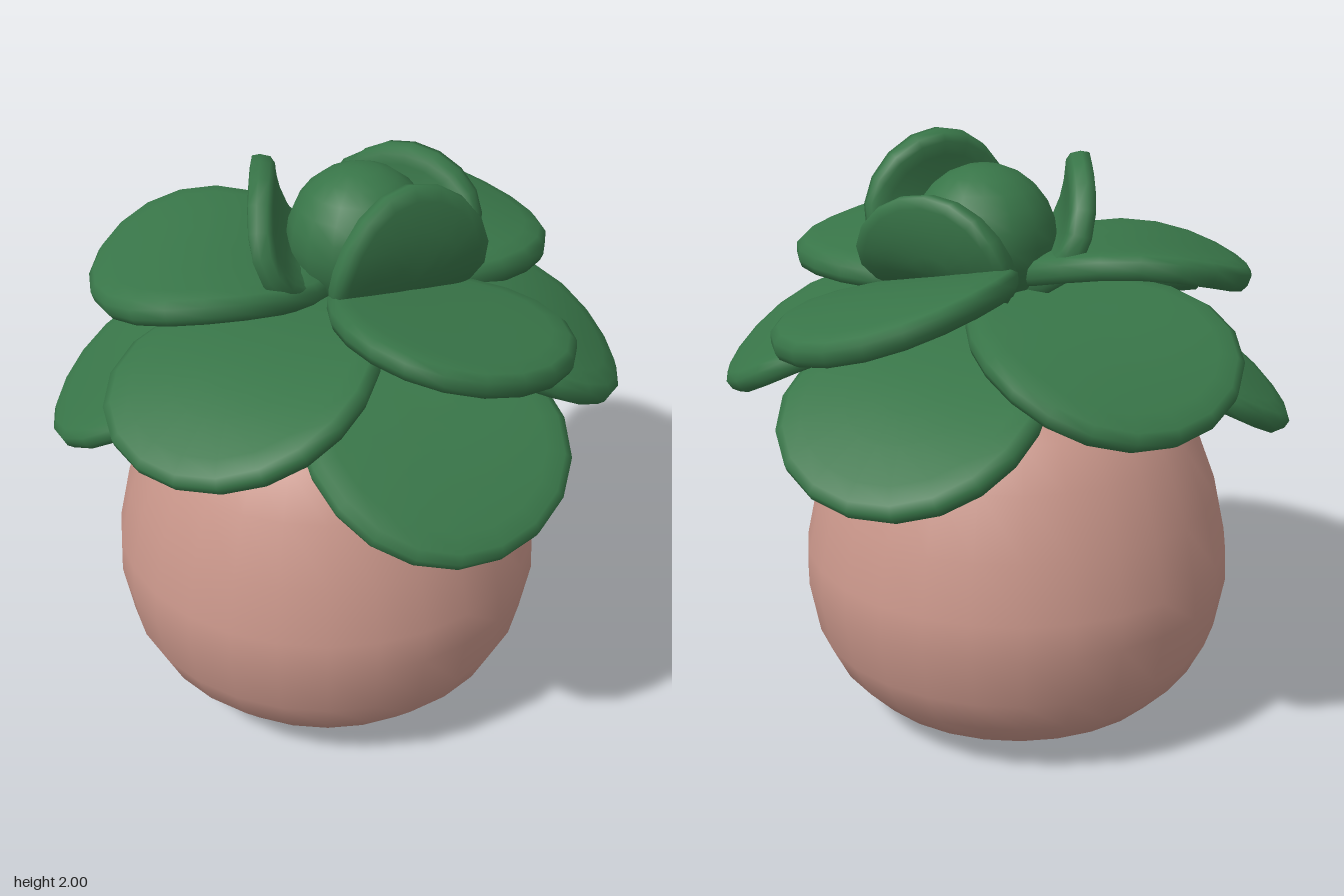
import * as THREE from 'three';
import { mergeVertices } from 'three/addons/utils/BufferGeometryUtils.js';

const vec = (p) => new THREE.Vector2(p[0], p[1]);

// A round plate bent along a radial curve: path = base, control and tip as [radius, height]
function petalGeometry(path, halfWidth, halfThick, roll) {
  const curve = new THREE.QuadraticBezierCurve(...path.map(vec));
  const rim = [[0, -1], [0.3, -1], [0.6, -1], [0.87, -1], [0.98, -0.9], [1, -0.3],
    [0.99, 0.5], [0.93, 0.9], [0.8, 1], [0.5, 1], [0.25, 1], [0, 1]];
  let geo = new THREE.LatheGeometry(rim.map(vec), 20);
  geo.deleteAttribute('uv');
  geo.deleteAttribute('normal');
  geo = mergeVertices(geo, 1e-4);
  const pos = geo.attributes.position;
  for (let i = 0; i < pos.count; i++) {
    const t = THREE.MathUtils.clamp((1 + pos.getX(i)) / 2, 0, 1);
    const point = curve.getPoint(t), tangent = curve.getTangent(t);
    const lift = pos.getY(i) * halfThick;
    const across = pos.getZ(i) * halfWidth * (0.86 + 0.21 * t);
    pos.setXYZ(i, point.x - tangent.y * lift, point.y + tangent.x * lift + across * roll, across);
  }
  geo.computeVertexNormals();
  return geo;
}

export function createModel() {
  const model = new THREE.Group();
  const clay = new THREE.MeshStandardMaterial({ color: 0xc9968a });
  clay.name = 'dusty pink';
  const green = new THREE.MeshStandardMaterial({ color: 0x387548 });
  green.name = 'leaf green';

  // Egg-shaped body
  const profile = [[0, 0], [0.42, 0.045], [0.55, 0.1], [0.645, 0.2], [0.705, 0.32], [0.738, 0.5],
    [0.733, 0.62], [0.69, 0.82], [0.615, 1.02], [0.53, 1.15], [0.42, 1.25], [0.28, 1.32], [0.14, 1.36], [0, 1.37]];
  const body = new THREE.Mesh(new THREE.LatheGeometry(profile.map(vec), 28), clay);
  body.name = 'body';
  body.position.x = -0.025;
  model.add(body);

  // Rings of three leaves, lowest to innermost; each leaf is [angle, roll, path]
  const rings = [
    { name: 'lowerLeaf', width: 0.445, thick: 0.036, x: 0, z: 0, leaves: [
      [59, -0.05, [[0.08, 1.42], [0.62, 1.37], [0.975, 1.055]]],
      [180, 0, [[0.08, 1.42], [0.62, 1.36], [0.945, 1.05]]],
      [301, 0.05, [[0.08, 1.42], [0.62, 1.37], [0.975, 1.055]]]] },
    { name: 'middleLeaf', width: 0.435, thick: 0.038, x: 0, z: 0, leaves: [
      [0, 0, [[0.06, 1.49], [0.62, 1.53], [0.945, 1.205]]],
      [120, -0.07, [[0.03, 1.51], [0.6, 1.58], [0.95, 1.31]]],
      [240, -0.05, [[0.03, 1.51], [0.6, 1.58], [0.955, 1.27]]]] },
    { name: 'upperLeaf', width: 0.39, thick: 0.043, x: 0.09, z: -0.03, leaves: [
      [58, 0.19, [[0.06, 1.56], [0.5, 1.66], [0.875, 1.58]]],
      [180, 0.08, [[0.06, 1.57], [0.5, 1.75], [0.885, 1.55]]],
      [303, -0.24, [[0.06, 1.55], [0.5, 1.65], [0.865, 1.52]]]] },
    { name: 'innerLeaf', width: 0.285, thick: 0.042, x: 0.09, z: -0.02, leaves: [
      [60, 0, [[0.08, 1.54], [0.37, 1.62], [0.27, 2]]],
      [180, 0, [[0.08, 1.54], [0.36, 1.62], [0.31, 1.97]]],
      [300, 0, [[0.08, 1.54], [0.36, 1.6], [0.33, 1.9]]]] },
  ];
  for (const ring of rings) {
    const group = new THREE.Group();
    group.name = ring.name + 'Ring';
    group.position.set(ring.x, 0, ring.z);
    for (const [angle, roll, path] of ring.leaves) {
      const leaf = new THREE.Mesh(petalGeometry(path, ring.width, ring.thick, roll), green);
      leaf.name = ring.name;
      leaf.rotation.y = -THREE.MathUtils.degToRad(angle);
      group.add(leaf);
    }
    model.add(group);
  }

  // Round bud in the middle
  const bud = new THREE.Mesh(new THREE.SphereGeometry(0.24, 16, 12), green);
  bud.name = 'bud';
  bud.position.set(0.085, 1.7, -0.05);
  model.add(bud);

  return model;
}
